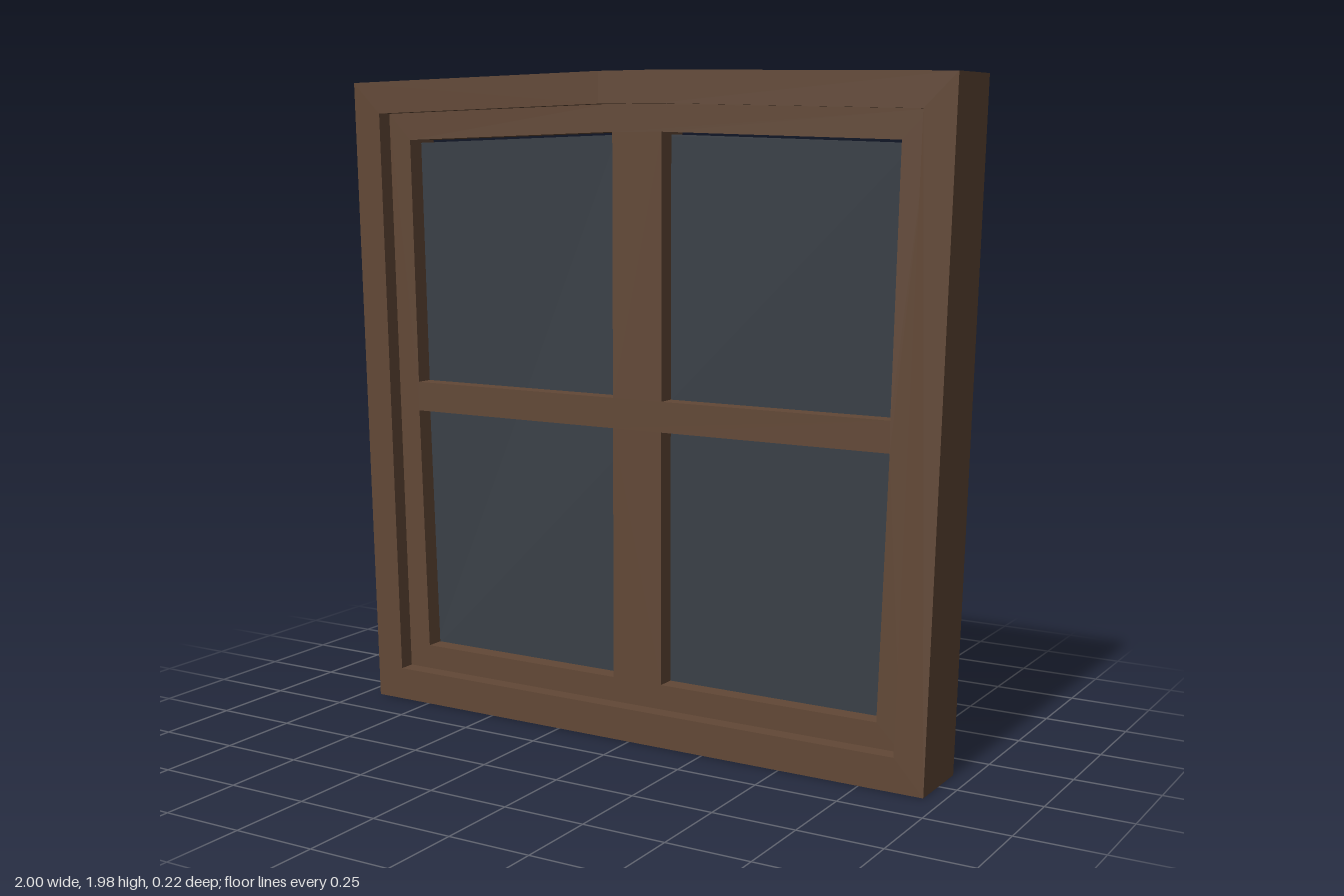
import * as THREE from 'three';

// Closed outline: flared sides and a shallow crown along the top
function outline(Type, bottomX, bottomY, topX, topY, peakY) {
  return new Type([
    [-bottomX, bottomY], [bottomX, bottomY], [topX, topY],
    [0.1, peakY], [-0.1, peakY], [-topX, topY],
  ].map(([x, y]) => new THREE.Vector2(x, y)));
}

// One pane opening from a mirrored list of corners
function opening(points, side) {
  return new THREE.Path(points.map(([x, y]) => new THREE.Vector2(x * side, y)));
}

// Slab extruded evenly about z = 0
function slab(name, shape, depth, material) {
  const geometry = new THREE.ExtrudeGeometry(shape, { depth, bevelEnabled: false });
  geometry.translate(0, 0, -depth / 2);
  const mesh = new THREE.Mesh(geometry, material);
  mesh.name = name;
  return mesh;
}

export function createModel() {
  const wood = new THREE.MeshStandardMaterial({ color: 0x624836 });
  wood.name = 'brown wood';
  const glass = new THREE.MeshStandardMaterial({ color: 0x393f46 });
  glass.name = 'dark glass';

  const group = new THREE.Group();
  group.name = 'window';

  // Outer frame
  const frame = outline(THREE.Shape, 0.945, 0, 1, 1.96, 1.98);
  frame.holes.push(outline(THREE.Path, 0.855, 0.1, 0.903, 1.865, 1.887));
  group.add(slab('outerFrame', frame, 0.22, wood));

  // Recessed sash with its cross bars
  const sash = outline(THREE.Shape, 0.855, 0.1, 0.903, 1.865, 1.887);
  const lower = [[0.083, 0.175], [0.78, 0.175], [0.805, 0.937], [0.083, 0.937]];
  const upper = [[0.083, 1.028], [0.805, 1.028], [0.823, 1.784], [0.083, 1.807]];
  for (const side of [-1, 1]) {
    sash.holes.push(opening(lower, side), opening(upper, side));
  }
  group.add(slab('sash', sash, 0.12, wood));

  // Glass sheet, stopping just short of the top rail
  const sheet = outline(THREE.Shape, 0.8, 0.15, 0.84, 1.775, 1.799);
  group.add(slab('glass', sheet, 0.009, glass));

  return group;
}
